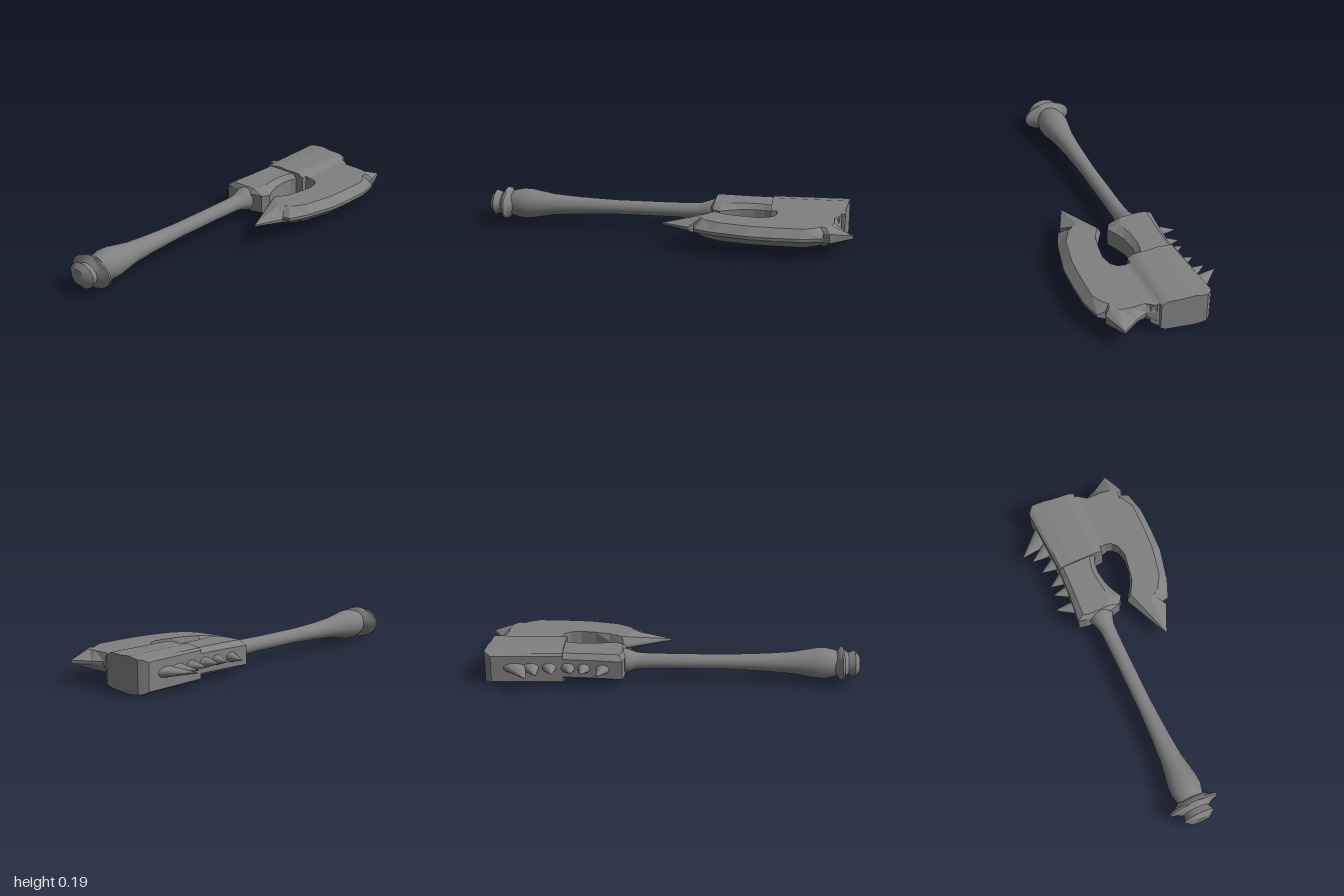
import * as THREE from 'three';
import { toCreasedNormals } from 'three/addons/utils/BufferGeometryUtils.js';

const material = new THREE.MeshStandardMaterial({ color: 0x808080 });

function addMesh(group, name, geometry) {
  const mesh = new THREE.Mesh(geometry, material);
  mesh.name = name;
  group.add(mesh);
  return mesh;
}

// Skins a list of equally long rings of [x, y, z] points
function skinRings(rings) {
  const pos = [];
  const n = rings[0].length;
  for (let r = 0; r < rings.length - 1; r++) {
    for (let i = 0; i < n; i++) {
      const j = (i + 1) % n, a = rings[r], b = rings[r + 1];
      pos.push(...a[i], ...b[i], ...b[j], ...a[i], ...b[j], ...a[j]);
    }
  }
  return pos;
}

function toGeometry(pos) {
  const geometry = new THREE.BufferGeometry();
  geometry.setAttribute('position', new THREE.Float32BufferAttribute(pos, 3));
  geometry.computeVertexNormals();
  return geometry;
}

// Bevelled plate lying in the xz plane. Points are [x, z, insetX, insetZ, rimHalf];
// the rim follows (x, z), the flat faces follow the inset outline.
function bevelledSlab(points, bottom, middle, top, rimHalf) {
  const area = THREE.ShapeUtils.area(points.map(([x, z]) => new THREE.Vector2(x, z)));
  const pts = area < 0 ? points.slice().reverse() : points;
  const inset = pts.map(([x, z, ix = x, iz = z]) => new THREE.Vector2(ix, iz));
  const rim = (sign) => pts.map(([x, z, , , h = rimHalf]) => [x, middle + sign * h, z]);
  const rings = [
    inset.map((p) => [p.x, bottom, p.y]), rim(-1), rim(1), inset.map((p) => [p.x, top, p.y]),
  ];
  const pos = skinRings(rings);
  for (const [a, b, c] of THREE.ShapeUtils.triangulateShape(inset, [])) {
    pos.push(...rings[0][a], ...rings[0][b], ...rings[0][c]);
    pos.push(...rings[3][c], ...rings[3][b], ...rings[3][a]);
  }
  return toGeometry(pos);
}

// Block from rectangular slices, front to back: [z, xLeft, xRight, bottom, top, zAtLeft]
function slicedBlock(rows) {
  const rings = rows.map(([z, x0, x1, y0, y1, zLeft = z]) => [
    [x0, y0, zLeft], [x0, y1, zLeft], [x1, y1, z], [x1, y0, z],
  ]);
  const pos = skinRings(rings.map((ring) => ring.slice().reverse()));
  const [a, b, c, d] = rings[0];
  const [e, f, g, h] = rings[rings.length - 1];
  pos.push(...a, ...d, ...c, ...a, ...c, ...b);
  pos.push(...e, ...f, ...g, ...e, ...g, ...h);
  return toCreasedNormals(toGeometry(pos), 0.5);
}

// Turned part along x: rows are [x, radius]; zScale widens it sideways
function turned(rows, zScale) {
  const points = rows.map(([x, r]) => new THREE.Vector2(r, x));
  const geometry = new THREE.LatheGeometry(points, 28).rotateZ(-Math.PI / 2);
  geometry.scale(1, 1, zScale).translate(0, 0.105, -0.105);
  return toCreasedNormals(geometry, 0.7);
}

export function createModel() {
  const group = new THREE.Group();

  // Handle with a flared butt and a collar under the head
  addMesh(group, 'handle', turned([
    [-0.89, 0], [-0.88, 0.068], [-0.86, 0.074], [-0.82, 0.083], [-0.77, 0.081], [-0.71, 0.07],
    [-0.64, 0.058], [-0.5, 0.048], [-0.3, 0.04], [0, 0.04], [0.14, 0.042],
    [0.18, 0.046], [0.21, 0.056], [0.24, 0.066], [0.27, 0.066], [0.27, 0],
  ], 1));

  // Pommel knob and flattened flange
  addMesh(group, 'pommel', turned([
    [-1, 0], [-1, 0.04], [-0.975, 0.068], [-0.955, 0.06], [-0.94, 0.056], [-0.925, 0.068],
    [-0.912, 0.087], [-0.9, 0.084], [-0.885, 0.066], [-0.865, 0.045], [-0.865, 0],
  ], 1.25));
  addMesh(group, 'pommelFlange', turned([
    [-0.945, 0], [-0.94, 0.045], [-0.925, 0.06], [-0.915, 0.082],
    [-0.905, 0.082], [-0.89, 0.06], [-0.87, 0.045], [-0.865, 0],
  ], 1.65));

  // Socket between handle and hammer block, arched along the front
  addMesh(group, 'socket', bevelledSlab([
    [0.25, -0.235, 0.265, -0.2], [0.24, -0.19, 0.255, -0.17], [0.235, -0.05, 0.255, -0.055],
    [0.25, 0.01, 0.27, -0.045], [0.29, 0.035, 0.3, -0.03], [0.34, 0.01, 0.34, -0.035],
    [0.4, -0.012, 0.4, -0.045], [0.47, -0.02, 0.47, -0.048], [0.53, -0.015, 0.53, -0.04],
    [0.58, 0.01, 0.58, -0.02], [0.62, 0.03, 0.62, 0],
    [0.62, -0.208, 0.62, -0.185], [0.42, -0.217, 0.42, -0.19],
  ], 0.033, 0.1, 0.177, 0.05));

  // Heavy hammer block with a wavy striking end
  addMesh(group, 'hammerBlock', slicedBlock([
    [0.048, 0.565, 0.957, 0.026, 0.17], [0.02, 0.565, 0.958, 0.013, 0.186],
    [-0.01, 0.565, 0.961, 0.01, 0.187], [-0.06, 0.565, 0.966, 0.007, 0.185],
    [-0.125, 0.565, 0.973, 0.002, 0.19], [-0.16, 0.565, 0.978, 0.007, 0.184],
    [-0.19, 0.565, 0.98, 0.011, 0.181, -0.185], [-0.21, 0.565, 0.963, 0.014, 0.179, -0.2],
    [-0.227, 0.565, 0.942, 0.024, 0.168, -0.21],
  ]));

  // Tapered neck joining block and blade
  addMesh(group, 'bladeNeck', slicedBlock([
    [0.09, 0.6, 0.925, 0.055, 0.15], [0.048, 0.6, 0.935, 0.026, 0.17],
    [0.03, 0.6, 0.935, 0.026, 0.17],
  ]));

  // Crescent blade with a bevelled cutting edge and a backward hook
  addMesh(group, 'blade', bevelledSlab([
    [0, 0.175, 0.2, 0.17, 0.004], [0.26, 0.06, 0.27, 0.085], [0.34, 0.11, 0.34, 0.125],
    [0.42, 0.142], [0.5, 0.155], [0.56, 0.142], [0.59, 0.115], [0.6, 0.08], [0.59, 0.02],
    [0.93, 0.02], [0.938, 0.06], [0.92, 0.11, 0.9, 0.11], [0.945, 0.17, 0.9, 0.19],
    [1, 0.26, 0.89, 0.245], [0.88, 0.308, 0.86, 0.28, 0.025], [0.85, 0.295, 0.83, 0.27, 0.025],
    [0.84, 0.335, 0.81, 0.29], [0.73, 0.36, 0.75, 0.32], [0.6, 0.36, 0.61, 0.318],
    [0.46, 0.353, 0.47, 0.31], [0.28, 0.31, 0.31, 0.275], [0.18, 0.268, 0.235, 0.23],
    [0.175, 0.222, 0.225, 0.215], [0.15, 0.245, 0.215, 0.2],
  ], 0.065, 0.113, 0.163, 0.008));

  // Row of leaning back spikes: [base x, tip x, tip z, half width]
  const spikes = new THREE.Group();
  spikes.name = 'backSpikes';
  group.add(spikes);
  [
    [0.345, 0.38, -0.322, 0.045], [0.45, 0.465, -0.295, 0.04], [0.54, 0.515, -0.29, 0.042],
    [0.64, 0.615, -0.3, 0.044], [0.74, 0.695, -0.322, 0.052], [0.83, 0.74, -0.36, 0.072],
  ].forEach(([baseX, tipX, tipZ, width]) => {
    const length = -0.2 - tipZ;
    const cone = new THREE.ConeGeometry(1, length, 14).rotateX(-Math.PI / 2);
    cone.scale(width, 0.032, 1);
    // Shear towards the tip
    const shear = new THREE.Matrix4().set(
      1, 0, -(tipX - baseX) / length, (baseX + tipX) / 2,
      0, 1, 0, 0.102,
      0, 0, 1, -0.2 - length / 2,
      0, 0, 0, 1,
    );
    addMesh(spikes, 'backSpike', cone.applyMatrix4(shear));
  });

  return group;
}
